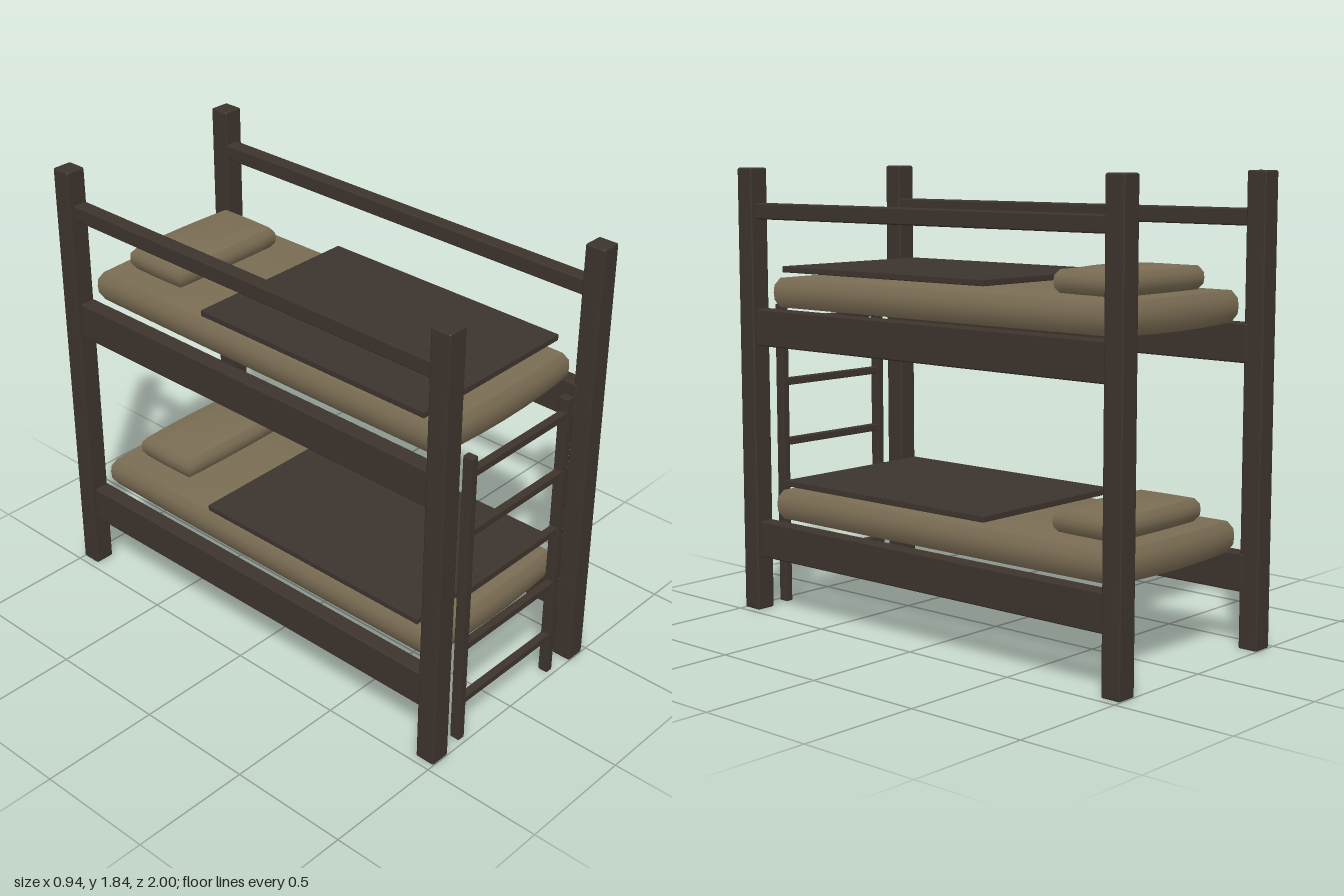
import * as THREE from 'three';
import { RoundedBoxGeometry } from 'three/addons/geometries/RoundedBoxGeometry.js';

const wood = new THREE.MeshStandardMaterial({ name: 'dark wood', color: 0x3d342d });
const cloth = new THREE.MeshStandardMaterial({ name: 'dark blanket cloth', color: 0x3d342e });
const linen = new THREE.MeshStandardMaterial({ name: 'tan linen', color: 0x7b6d54 });

// Lightly bevelled beam given by its extents on each axis
function beam(name, [x0, x1], [y0, y1], [z0, z1], material = wood, bevel = 0.007) {
  const geo = new RoundedBoxGeometry(x1 - x0, y1 - y0, z1 - z0, 1, bevel);
  const mesh = new THREE.Mesh(geo, material);
  mesh.name = name;
  mesh.position.set((x0 + x1) / 2, (y0 + y1) / 2, (z0 + z1) / 2);
  return mesh;
}

// Stuffed cushion: sides swell at mid height, top and bottom are crowned
function cushion(name, hx, hz, bottom, top, bulge, bow, crown, sag) {
  const geo = new THREE.BoxGeometry(2, 2, 2, 6, 4, 8);
  const p = geo.attributes.position;
  for (let i = 0; i < p.count; i++) {
    const u = p.getX(i), v = p.getY(i), w = p.getZ(i);
    const swell = bulge * (1 - Math.pow(Math.abs(v), 3));
    const dome = (1 - u * u) * (1 - Math.pow(w, 4));
    const endDome = 0.5 * (1 - u * u) + 0.5 * dome;
    const y = v > 0 ? v * crown * dome : v * sag * endDome;
    p.setXYZ(i,
      u * (hx + swell + bow * 0.4 * (1 - w * w)),
      bottom + (top - bottom) * (v + 1) / 2 + y,
      w * (hz + swell + bow * (1 - u * u)));
  }
  geo.computeVertexNormals();
  const mesh = new THREE.Mesh(geo, linen);
  mesh.name = name;
  return mesh;
}

// One bunk: side rails, mattress, pillow and blanket
function bunk(name, lift) {
  const g = new THREE.Group();
  g.name = name;
  for (const s of [-1, 1]) {
    const x = s < 0 ? [-0.45, -0.382] : [0.382, 0.45];
    g.add(beam(s < 0 ? 'rightSideRail' : 'leftSideRail', x, [0.225, 0.377], [-0.93, 0.93]));
  }
  g.add(cushion('mattress', 0.358, 0.873, 0.381, 0.503, 0.02, 0.012, 0.019, 0.015));
  const pillow = cushion('pillow', 0.25, 0.128, 0.508, 0.598, 0.018, 0.008, 0.013, 0);
  pillow.position.z = -0.665;
  g.add(pillow);
  g.add(beam('blanket', [-0.386, 0.386], [0.529, 0.554], [-0.28, 0.83], cloth, 0.003));
  g.position.y = lift;
  return g;
}

export function createModel() {
  const model = new THREE.Group();
  model.name = 'bunkBed';

  // Corner posts and upper guard rails
  for (const s of [-1, 1]) {
    const px = s < 0 ? [-0.471, -0.385] : [0.385, 0.471];
    const side = s < 0 ? 'right' : 'left';
    model.add(beam(side + 'FrontPost', px, [0, 1.843], [0.915, 1]));
    model.add(beam(side + 'BackPost', px, [0, 1.843], [-1, -0.915]));
    const rx = s < 0 ? [-0.45, -0.388] : [0.388, 0.45];
    model.add(beam(side + 'GuardRail', rx, [1.635, 1.7], [-0.93, 0.93]));
  }

  model.add(bunk('lowerBunk', 0), bunk('upperBunk', 0.89));

  // Ladder at the front end
  const ladder = new THREE.Group();
  ladder.name = 'ladder';
  for (const s of [-1, 1]) {
    const x = s * 0.279;
    ladder.add(beam(s < 0 ? 'rightLadderRail' : 'leftLadderRail',
      [x - 0.017, x + 0.017], [0, 1.275], [0.937, 0.98], wood, 0.004));
  }
  for (let i = 0; i < 5; i++) {
    const y = 0.177 + i * 0.256;
    ladder.add(beam('rung' + (i + 1), [-0.275, 0.275], [y - 0.015, y + 0.015], [0.942, 0.975], wood, 0.004));
  }
  model.add(ladder);

  return model;
}
